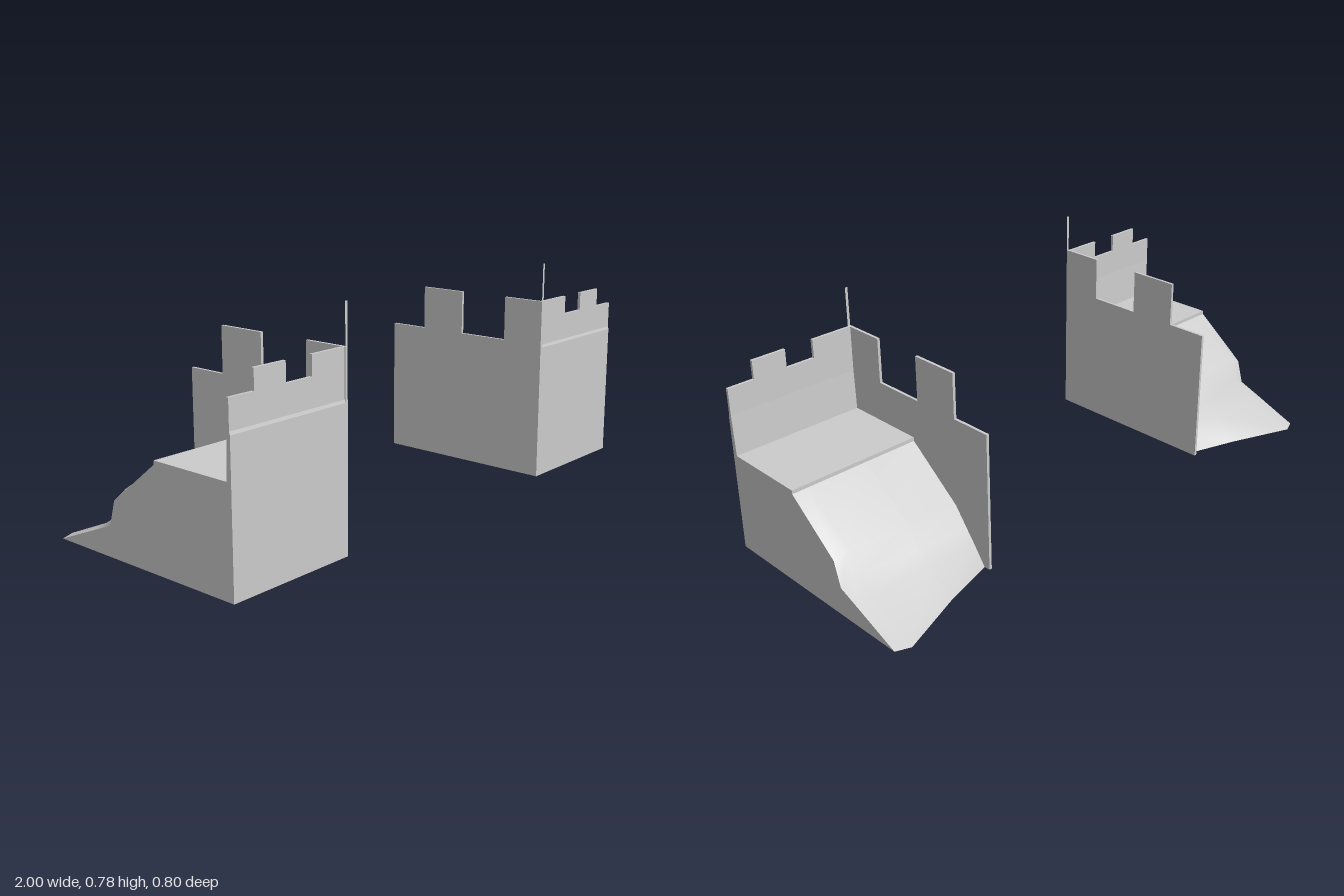
import * as THREE from 'three';

const material = new THREE.MeshStandardMaterial({ color: 0xcccccc, side: THREE.DoubleSide });

function addPart(parent, name, geometry) {
  const mesh = new THREE.Mesh(geometry, material);
  mesh.name = name;
  parent.add(mesh);
}

function shapeOf(points) {
  return new THREE.Shape(points.map(([a, b]) => new THREE.Vector2(a, b)));
}

// Side outline given as [z, y]; becomes a sheet or a slab along x
function sideProfile(points, x, depth) {
  const shape = shapeOf(points.map(([z, y]) => [-z, y]));
  const geometry = depth
    ? new THREE.ExtrudeGeometry(shape, { depth, bevelEnabled: false })
    : new THREE.ShapeGeometry(shape);
  return geometry.rotateY(Math.PI / 2).translate(x, 0, 0);
}

// Battlement outline: edges[i]..edges[i + 1] has height heights[i]
function battlement(edges, heights, base) {
  const points = [[edges[0], base]];
  heights.forEach((h, i) => points.push([edges[i], h], [edges[i + 1], h]));
  points.push([edges[edges.length - 1], base]);
  return points;
}

// Ramp cross-sections from the outer edge to the inner wall, as [z, y]
const rampSections = [
  [[0.08, 0.335], [-0.11, 0.185], [-0.135, 0.1], [-0.215, 0.068], [-0.38, 0]],
  [[0.08, 0.335], [-0.115, 0.21], [-0.14, 0.125], [-0.215, 0.07], [-0.4, 0]],
  [[0.08, 0.335], [-0.12, 0.19], [-0.16, 0.12], [-0.22, 0.07], [-0.31, 0]],
  [[0.08, 0.335], [-0.12, 0.175], [-0.165, 0.115], [-0.2, 0.07], [-0.25, 0]],
];

function rampGeometry(inner) {
  const xs = [1, 0.95, 0.72, inner];
  const rows = rampSections[0].length;
  const positions = [];
  const index = [];
  rampSections.forEach((section, c) => section.forEach(([z, y]) => positions.push(xs[c], y, z)));
  for (let c = 0; c < xs.length - 1; c++) {
    for (let r = 0; r < rows - 1; r++) {
      const a = c * rows + r, b = a + rows;
      index.push(a, a + 1, b, b, a + 1, b + 1);
    }
  }
  const geometry = new THREE.BufferGeometry();
  geometry.setAttribute('position', new THREE.Float32BufferAttribute(positions, 3));
  geometry.setIndex(index);
  geometry.computeVertexNormals();
  return geometry;
}

// One half, built on +x; inner is the near face of its inner wall
function buildBastion(inner) {
  const bastion = new THREE.Group();
  const thickness = 0.01;
  const start = inner + thickness;
  const width = 1 - start;

  // Tall crenellated wall facing the gap
  addPart(bastion, 'innerWall', sideProfile(
    battlement([0.4, 0.243, 0.052, -0.125, -0.273], [0.648, 0.49, 0.648, 0.49], 0), inner, thickness));

  // Front wall: lower part with a small sloped ledge, then the parapet
  addPart(bastion, 'frontWall', sideProfile(
    [[0.4, 0], [0.4, 0.48], [0.397, 0.49], [0.387, 0.49], [0.382, 0.348], [0.382, 0]], start, width));
  const parapet = new THREE.ExtrudeGeometry(
    shapeOf(battlement([start, 0.677, 0.782, 0.905, 1], [0.648, 0.583, 0.648, 0.583], 0.49)),
    { depth: 0.01, bevelEnabled: false });
  addPart(bastion, 'frontParapet', parapet.translate(0, 0, 0.387));

  // Flat thin post rising from the front inner corner
  const post = new THREE.PlaneGeometry(thickness, 0.135);
  addPart(bastion, 'cornerPost', post.translate(inner + thickness / 2, 0.7155, 0.4));

  // Walkway with its small step down to the ramp
  const deck = new THREE.PlaneGeometry(width, 0.302).rotateX(-Math.PI / 2);
  addPart(bastion, 'walkway', deck.translate(start + width / 2, 0.348, 0.231));
  const step = new THREE.PlaneGeometry(width, 0.013).rotateY(Math.PI);
  addPart(bastion, 'walkwayStep', step.translate(start + width / 2, 0.3415, 0.08));

  // Earth ramp and the outer side sheet that follows its edge
  addPart(bastion, 'ramp', rampGeometry(start));
  addPart(bastion, 'outerSide', sideProfile(
    [[0.382, 0], [0.382, 0.348], [0.08, 0.348], ...rampSections[0]], 1, 0));
  return bastion;
}

export function createModel() {
  const model = new THREE.Group();
  model.name = 'gateBastions';
  const left = buildBastion(0.515);
  left.name = 'leftBastion';
  const right = buildBastion(0.528);
  right.name = 'rightBastion';
  right.scale.x = -1;
  model.add(left, right);
  return model;
}
